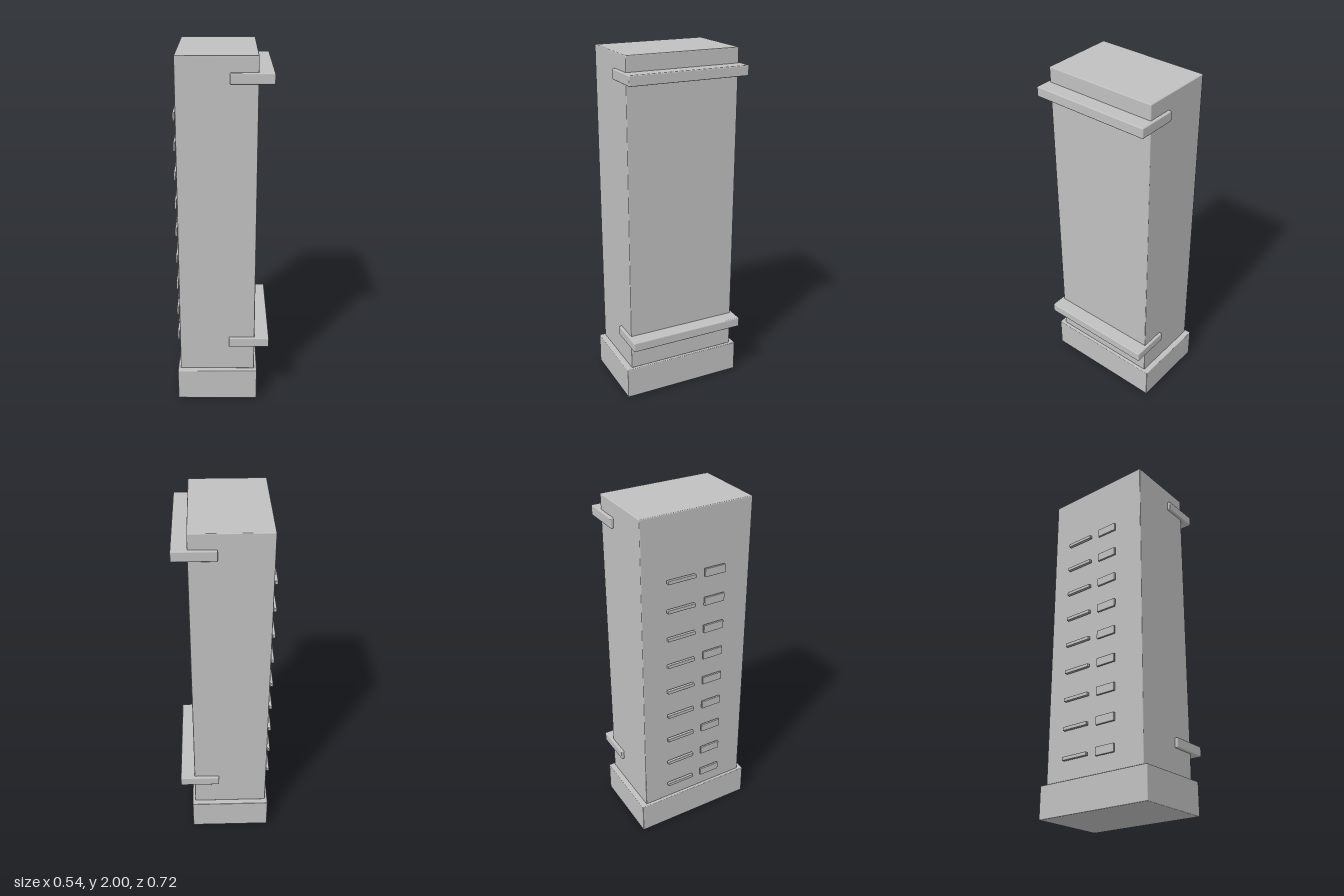
import * as THREE from 'three';
import { RoundedBoxGeometry } from 'three/addons/geometries/RoundedBoxGeometry.js';

export function createModel() {
  const model = new THREE.Group();
  model.name = 'cabinet';
  const grey = new THREE.MeshStandardMaterial({ color: 0xc0c0c0 });
  grey.name = 'grey';

  // Softly edged box given by its lower and upper corners
  function block(name, [x0, y0, z0], [x1, y1, z1], radius = 0.005) {
    const geometry = new RoundedBoxGeometry(x1 - x0, y1 - y0, z1 - z0, 2, radius);
    const mesh = new THREE.Mesh(geometry, grey);
    mesh.name = name;
    mesh.position.set((x0 + x1) / 2, (y0 + y1) / 2, (z0 + z1) / 2);
    model.add(mesh);
  }

  // Plinth and tall body
  block('plinth', [-0.255, 0, -0.361], [0.204, 0.186, 0.361]);
  block('body', [-0.24, 0.186, -0.329], [0.188, 2, 0.329]);

  // Bands wrapping the +x side
  block('lowerBand', [0.041, 0.34, -0.346], [0.27, 0.397, 0.346], 0.006);
  block('upperBand', [0.041, 1.858, -0.346], [0.27, 1.915, 0.346], 0.006);

  // Rows of a thin handle and a taller label, standing just off the -x side
  for (let i = 0; i < 9; i++) {
    const y = 0.302 + i * 0.168;
    block('handle' + (i + 1), [-0.273, y - 0.011, -0.192], [-0.255, y + 0.011, -0.022], 0.004);
    block('label' + (i + 1), [-0.267, y - 0.024, 0.035], [-0.255, y + 0.024, 0.159], 0.002);
  }
  return model;
}
